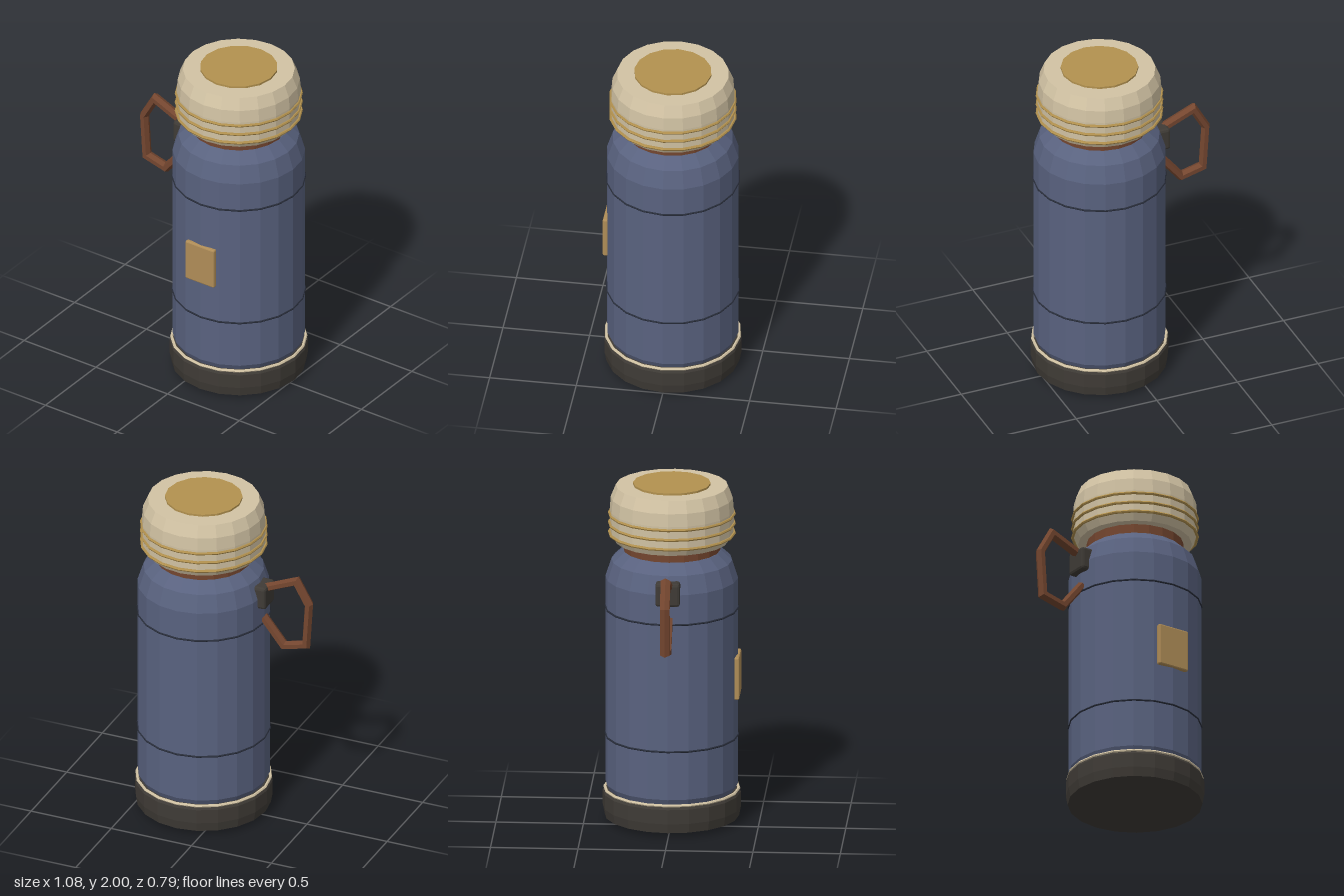
import * as THREE from 'three';
import { RoundedBoxGeometry } from 'three/addons/geometries/RoundedBoxGeometry.js';

const SIDES = 20;
const material = (color) => new THREE.MeshStandardMaterial({ color, flatShading: true });
const blue = material(0x59627f);
const dark = material(0x3f3b36);
const band = material(0x282d3a);
const cream = material(0xd2c3a4);
const gold = material(0xb3924f);
const brass = material(0xb08d57);
const copper = material(0x74462f);

function add(parent, name, geometry, mat, x = 0, y = 0, z = 0) {
  const mesh = new THREE.Mesh(geometry, mat);
  mesh.name = name;
  mesh.position.set(x, y, z);
  parent.add(mesh);
  return mesh;
}

// Turned part from [radius, height] pairs, listed bottom to top
function turned(parent, name, profile, mat) {
  const points = profile.map(([r, y]) => new THREE.Vector2(r, y));
  return add(parent, name, new THREE.LatheGeometry(points, SIDES), mat);
}

// Thin horizontal ring around the axis
function ring(parent, name, radius, tube, y, mat) {
  const geometry = new THREE.TorusGeometry(radius, tube, 6, SIDES).rotateX(Math.PI / 2);
  return add(parent, name, geometry, mat, 0, y, 0);
}

// Mitred bar swept along a flat path in the xy plane
function mitredBar(path, rIn, rOut, sides) {
  const pts = path.map(([x, y]) => new THREE.Vector2(x, y));
  const positions = [];
  const index = [];
  pts.forEach((p, i) => {
    const before = p.clone().sub(pts[Math.max(i - 1, 0)]).normalize();
    const after = pts[Math.min(i + 1, pts.length - 1)].clone().sub(p).normalize();
    const t = before.clone().add(after).normalize();
    const edge = i === 0 ? after : before;
    const reach = rIn / Math.max(t.dot(edge), 0.5);
    for (let j = 0; j < sides; j++) {
      const a = (j / sides) * Math.PI * 2;
      const n = Math.cos(a) * reach;
      positions.push(p.x - t.y * n, p.y + t.x * n, Math.sin(a) * rOut);
      if (i === 0) continue;
      const k = (j + 1) % sides;
      const a0 = (i - 1) * sides + j, a1 = (i - 1) * sides + k;
      const b0 = i * sides + j, b1 = i * sides + k;
      index.push(a0, a1, b0, a1, b1, b0);
    }
  });
  // End caps
  const last = (pts.length - 1) * sides;
  for (let j = 1; j < sides - 1; j++) {
    index.push(0, j + 1, j, last, last + j, last + j + 1);
  }
  const geometry = new THREE.BufferGeometry();
  geometry.setAttribute('position', new THREE.Float32BufferAttribute(positions, 3));
  geometry.setIndex(index);
  geometry.computeVertexNormals();
  return geometry;
}

export function createModel() {
  const model = new THREE.Group();
  model.name = 'flask';
  // The flask axis sits off centre, balancing the handle
  const flask = new THREE.Group();
  flask.name = 'flaskAssembly';
  flask.position.set(0.143, 0, -0.003);
  model.add(flask);

  // Base and body
  turned(flask, 'base', [[0, 0], [0.31, 0.003], [0.385, 0.025], [0.395, 0.08], [0.395, 0.165], [0.385, 0.185], [0.35, 0.19]], dark);
  ring(flask, 'baseTrim', 0.383, 0.009, 0.186, cream);
  turned(flask, 'body', [[0.36, 0.18], [0.379, 0.22], [0.379, 1.44], [0.345, 1.545], [0.28, 1.605], [0.24, 1.605]], blue);
  for (const y of [0.506, 1.263]) ring(flask, 'bodyBand', 0.379, 0.006, y, band);

  // Neck and cap
  turned(flask, 'neck', [[0.277, 1.59], [0.277, 1.67]], copper);
  turned(flask, 'cap', [[0.22, 1.66], [0.325, 1.66], [0.353, 1.71], [0.355, 1.84], [0.349, 1.915], [0.32, 1.985], [0, 1.988]], cream);
  for (const y of [1.705, 1.762, 1.82]) ring(flask, 'capRing', 0.357, 0.009, y, gold);
  add(flask, 'capDisc', new THREE.CylinderGeometry(0.222, 0.222, 0.012, 16), gold, 0, 1.994, 0);

  // Plate on the front
  add(flask, 'frontPlate', new RoundedBoxGeometry(0.2, 0.25, 0.03, 1, 0.008), brass, 0, 0.864, 0.376);

  // Handle on the right side
  add(flask, 'handleBracket', new RoundedBoxGeometry(0.1, 0.138, 0.14, 1, 0.016), dark, -0.364, 1.448, 0);
  const path = [[-0.36, 1.48], [-0.58, 1.575], [-0.657, 1.44], [-0.64, 1.175], [-0.503, 1.14], [-0.374, 1.3]];
  add(flask, 'handle', mitredBar(path, 0.025, 0.032, 6), copper);

  return model;
}
